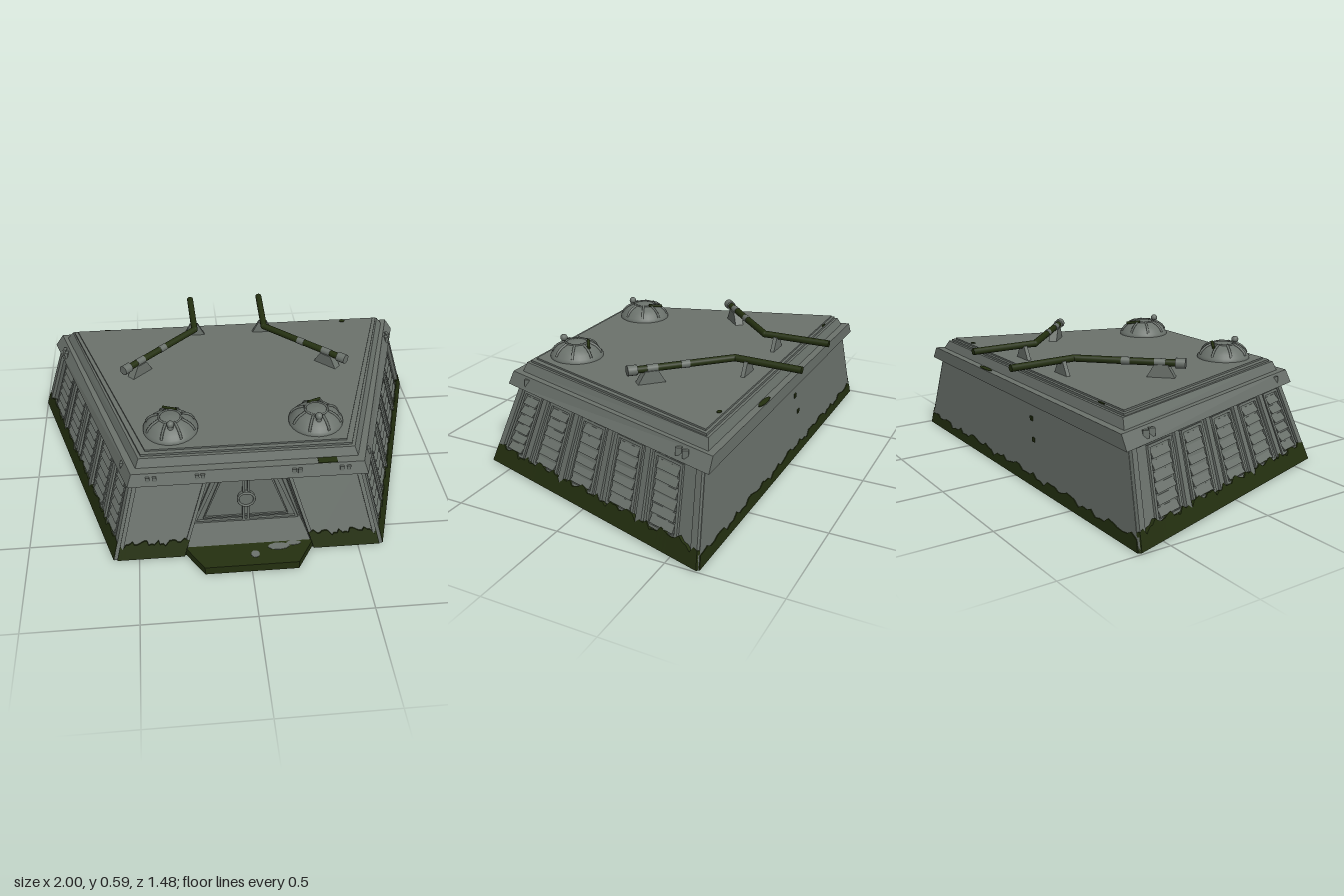
import * as THREE from 'three';

const stone = new THREE.MeshStandardMaterial({ color: 0x6b726c, side: THREE.DoubleSide });
stone.name = 'weatheredGrey';
const moss = new THREE.MeshStandardMaterial({ color: 0x243010, side: THREE.DoubleSide });
moss.name = 'darkMoss';

const V = (x, y, z) => new THREE.Vector3(x, y, z);

function add(parent, name, geo, mat, x = 0, y = 0, z = 0) {
  const m = new THREE.Mesh(geo, mat);
  m.name = name;
  m.position.set(x, y, z);
  parent.add(m);
  return m;
}

// Flat-faced geometry from a list of quads (corner arrays, counter-clockwise)
function quads(list) {
  const pos = [];
  for (const [a, b, c, d] of list) for (const p of [a, b, c, a, c, d]) pos.push(p.x, p.y, p.z);
  const g = new THREE.BufferGeometry();
  g.setAttribute('position', new THREE.Float32BufferAttribute(pos, 3));
  g.computeVertexNormals();
  return g;
}

// Six faces joining two four-cornered rings, b lying outward of a
const hexa = (a, b) => [[...a].reverse(), b, ...a.map((p, i) => [p, a[(i + 1) % 4], b[(i + 1) % 4], b[i]])];

// Horizontal trapezoid: half width and z at the front, then at the back
const ring = (y, fx, fz, bx, bz) => [V(-fx, y, fz), V(fx, y, fz), V(bx, y, bz), V(-bx, y, bz)];

// Sloping wall addressed by s (along), t (up) and d (outward)
function wall(bl, br, tr, tl) {
  const n = br.clone().sub(bl).cross(tl.clone().sub(bl)).normalize();
  const at = (s, t, d) => bl.clone().lerp(br, s).lerp(tl.clone().lerp(tr, s), t).addScaledVector(n, d);
  // plate with separate thickness along its lower and upper edges
  const plate = (s0, s1, t0, t1, d0, d1 = d0) => hexa(
    [at(s0, t0, -0.002), at(s1, t0, -0.002), at(s1, t1, -0.002), at(s0, t1, -0.002)],
    [at(s0, t0, d0), at(s1, t0, d0), at(s1, t1, d1), at(s0, t1, d1)]);
  const face = [at(0, 0, 0), at(1, 0, 0), at(1, 1, 0), at(0, 1, 0)];
  // ragged band of growth along the foot
  const band = (n, h, amp, d) => {
    const top = i => h + amp * (0.5 * Math.sin(i * 1.3) + 0.35 * Math.sin(i * 2.9 + 1) + 0.3 * Math.sin(i * 0.47));
    const out = [];
    for (let i = 0; i < n; i++) {
      const a = i / n, b = (i + 1) / n, ta = top(i), tb = top(i + 1);
      out.push([at(a, 0, d), at(b, 0, d), at(b, tb, d), at(a, ta, d)]);
      out.push([at(a, ta, d), at(b, tb, d), at(b, tb, 0), at(a, ta, 0)]);
    }
    out.push([at(0, 0, 0), at(0, 0, d), at(0, top(0), d), at(0, top(0), 0)]);
    out.push([at(1, 0, d), at(1, 0, 0), at(1, top(n), 0), at(1, top(n), d)]);
    return out;
  };
  return { plate, face, band };
}

function rod(parent, name, a, b, r, mat) {
  const m = add(parent, name, new THREE.CylinderGeometry(r, r, a.distanceTo(b), 14), mat);
  m.position.copy(a).lerp(b, 0.5);
  m.quaternion.setFromUnitVectors(V(0, 1, 0), b.clone().sub(a).normalize());
  return m;
}

// Upright trapezoid outline, optionally hollowed into a frame
function trapezoid(w0, w1, y0, y1, depth, rim = 0) {
  const pts = (k) => [[-w0 + k, y0 + k], [w0 - k, y0 + k], [w1 - k, y1 - k], [-w1 + k, y1 - k]].map(p => new THREE.Vector2(...p));
  const s = new THREE.Shape(pts(0));
  if (rim) s.holes.push(new THREE.Path(pts(rim)));
  return new THREE.ExtrudeGeometry(s, { depth, bevelEnabled: false });
}

// One half of the bunker, on +x
function createHalf() {
  const g = new THREE.Group();
  const side = wall(V(0.6, 0, 0.615), V(0.985, 0, -0.64), V(0.865, 0.38, -0.605), V(0.5, 0.38, 0.5));
  add(g, 'sideWall', quads([side.face]), stone);

  // pillars and louvred panels
  const pillars = [0.012, 0.17, 0.36, 0.55, 0.745, 0.985];
  add(g, 'sidePillars', quads(pillars.flatMap(s => side.plate(s - 0.013, s + 0.013, 0, 1, 0.016))), stone);
  add(g, 'sideRails', quads([...side.plate(0, 1, 0.955, 1, 0.012), ...side.plate(0, 1, 0, 0.15, 0.012)]), stone);
  const frames = [], slats = [];
  for (const [a, b] of [[0.035, 0.145], [0.2, 0.33], [0.39, 0.52], [0.585, 0.715], [0.775, 0.91]]) {
    frames.push(...side.plate(a, a + 0.012, 0.18, 0.94, 0.012), ...side.plate(b - 0.012, b, 0.18, 0.94, 0.012),
      ...side.plate(a, b, 0.91, 0.94, 0.012), ...side.plate(a, b, 0.18, 0.21, 0.012));
    for (let i = 0; i < 6; i++) {
      const t = 0.225 + i * 0.114;
      slats.push(...side.plate(a + 0.017, b - 0.017, t, t + 0.09, 0.016, 0.003));
    }
  }
  add(g, 'panelFrames', quads(frames), stone);
  add(g, 'louvres', quads(slats), stone);
  add(g, 'sideMoss', quads(side.band(64, 0.2, 0.055, 0.018)), moss);

  // front wall beside the entrance
  const front = wall(V(0.295, 0, 0.615), V(0.6, 0, 0.615), V(0.5, 0.38, 0.5), V(0.17, 0.38, 0.5));
  add(g, 'frontWall', quads([front.face]), stone);
  add(g, 'frontTrim', quads([...front.plate(0, 0.05, 0, 1, 0.008), ...front.plate(0.94, 1, 0, 1, 0.008)]), stone);
  add(g, 'frontMoss', quads(front.band(24, 0.19, 0.05, 0.01)), moss);

  // entrance jamb
  add(g, 'entranceJamb', quads([[V(0.295, 0, 0.615), V(0.17, 0.38, 0.5), V(0.15, 0.38, 0.43), V(0.265, 0, 0.43)]]), stone);

  // small vents on the roof edge
  for (const x of [0.41, 0.44, 0.2, 0.225])
    add(g, 'edgeVent', new THREE.BoxGeometry(0.018, 0.022, 0.012), stone, x, 0.412, 0.553);
  for (const z of [0.44, -0.48, -0.515]) {
    const v = add(g, 'sideVent', new THREE.BoxGeometry(0.016, 0.034, 0.026), stone, 0.532 + (0.55 - z) * 0.32 - 0.02, 0.41, z);
    v.rotation.y = 0.31;
  }

  // hatch dome with ribs, rim knobs and a lookout stub
  const dome = new THREE.Group();
  dome.name = 'hatchDome';
  dome.position.set(0.328, 0.494, 0.31);
  g.add(dome);
  const profile = [[0.123, 0], [0.123, 0.012], [0.115, 0.018], [0.106, 0.034], [0.086, 0.052], [0.056, 0.066], [0.025, 0.073], [0, 0.075]];
  add(dome, 'domeShell', new THREE.LatheGeometry(profile.map(p => new THREE.Vector2(...p)), 28), stone);
  const hoop = add(dome, 'domeHoop', new THREE.TorusGeometry(0.05, 0.005, 6, 24), stone, 0, 0.068, 0);
  hoop.rotation.x = Math.PI / 2;
  for (let i = 0; i < 8; i++) {
    const c = Math.cos(i * Math.PI / 4 + 0.4), s = Math.sin(i * Math.PI / 4 + 0.4);
    const path = new THREE.CatmullRomCurve3(profile.slice(2, 6).map(([r, y]) => V(r * c, y + 0.002, r * s)));
    add(dome, 'domeRib', new THREE.TubeGeometry(path, 6, 0.006, 6), stone);
  }
  add(dome, 'lookoutStub', new THREE.CylinderGeometry(0.012, 0.014, 0.045, 12), stone, 0, 0.06, 0.07);
  add(dome, 'lookoutCap', new THREE.SphereGeometry(0.017, 12, 8), stone, 0, 0.077, 0.07);
  rod(dome, 'domeHandle', V(-0.03, 0.073, -0.045), V(0.03, 0.06, -0.085), 0.007, moss);

  // bent roof pipe
  const pipe = new THREE.Group();
  pipe.name = 'roofPipe';
  g.add(pipe);
  const a = V(0.53, 0.56, -0.085), b = V(0.178, 0.56, -0.425), c = V(0.185, 0.56, -0.74);
  const on = k => a.clone().lerp(b, k);
  rod(pipe, 'slantedPipe', a, b, 0.016, moss);
  rod(pipe, 'straightPipe', b, c, 0.016, moss);
  add(pipe, 'pipeElbow', new THREE.SphereGeometry(0.0165, 14, 10), moss).position.copy(b);
  rod(pipe, 'pipeEndCollar', on(-0.02), on(0.07), 0.023, stone);
  rod(pipe, 'barePatch', on(0.16), on(0.26), 0.0175, stone);
  rod(pipe, 'barePatch', on(0.48), on(0.56), 0.0172, stone);
  const saddle = add(pipe, 'pipeSaddle', trapezoid(0.065, 0.03, 0, 0.06, 0.04).translate(0, 0, -0.02), stone, 0.46, 0.492, -0.152);
  saddle.rotation.y = -Math.atan2(0.34, 0.352);
  add(pipe, 'pipeStand', trapezoid(0.055, 0.02, 0, 0.065, 0.018), stone, 0.178, 0.492, -0.494);
  return g;
}

export function createModel() {
  const model = new THREE.Group();
  model.name = 'bunker';

  // mirrored halves
  const left = createHalf(), right = createHalf();
  left.name = 'leftHalf';
  right.name = 'rightHalf';
  right.scale.x = -1;
  model.add(left, right);

  // back wall and underside
  const back = wall(V(0.985, 0, -0.64), V(-0.985, 0, -0.64), V(-0.865, 0.38, -0.605), V(0.865, 0.38, -0.605));
  add(model, 'backWall', quads([back.face]), stone);
  add(model, 'backMoss', quads(back.band(60, 0.13, 0.05, 0.004)), moss);
  add(model, 'underside', quads([ring(0.001, 0.6, 0.615, 0.985, -0.64).reverse()]), moss);

  // stepped roof
  const tiers = [
    ['roofEave', ring(0.378, 0.53, 0.562, 0.91, -0.64), ring(0.437, 0.51, 0.545, 0.87, -0.638)],
    ['roofBevel', ring(0.437, 0.49, 0.505, 0.84, -0.605), ring(0.478, 0.475, 0.49, 0.81, -0.59)],
    ['roofLedge', ring(0.478, 0.465, 0.475, 0.8, -0.578), ring(0.488, 0.465, 0.475, 0.8, -0.578)],
    ['roofDeck', ring(0.488, 0.445, 0.455, 0.78, -0.565), ring(0.496, 0.445, 0.455, 0.78, -0.565)]];
  for (const [name, lo, hi] of tiers) add(model, name, quads(hexa(lo, hi)), stone);

  // recessed double door
  add(model, 'doorPanel', trapezoid(0.267, 0.15, 0, 0.378, 0.008), stone, 0, 0, 0.43);
  add(model, 'doorFrame', trapezoid(0.25, 0.135, 0.03, 0.36, 0.012, 0.018), stone, 0, 0, 0.438);
  add(model, 'doorInnerFrame', trapezoid(0.2, 0.105, 0.06, 0.335, 0.008, 0.008), stone, 0, 0, 0.438);
  for (const x of [-0.011, 0.011])
    add(model, 'doorSeamStrip', new THREE.BoxGeometry(0.012, 0.32, 0.016), stone, x, 0.19, 0.444);
  const lock = add(model, 'doorLock', new THREE.CylinderGeometry(0.04, 0.04, 0.02, 24), stone, 0, 0.178, 0.45);
  lock.rotation.x = Math.PI / 2;
  add(model, 'doorLockRing', new THREE.TorusGeometry(0.038, 0.006, 6, 24), stone, 0, 0.178, 0.46);

  // entrance step with bare spots
  const step = (y) => [V(-0.21, y, 0.74), V(0.21, y, 0.74), V(0.292, y, 0.605), V(-0.292, y, 0.605)];
  add(model, 'entranceStep', quads(hexa(step(0), step(0.04))), moss);
  add(model, 'entranceFloor', quads(hexa(ring(0, 0.285, 0.606, 0.265, 0.43), ring(0.039, 0.28, 0.606, 0.255, 0.43))), stone);
  const spot = (name, mat, x, y, z, rx, rz) => {
    const m = add(model, name, new THREE.CylinderGeometry(1, 1, 0.004, 9), mat, x, y, z);
    m.scale.set(rx, 1, rz);
  };
  spot('bareSpot', stone, 0.13, 0.04, 0.635, 0.05, 0.022);
  spot('bareSpot', stone, 0.02, 0.04, 0.675, 0.02, 0.022);
  spot('bareSpot', stone, 0.2, 0.04, 0.62, 0.035, 0.014);

  // patches of growth on the roof edges
  spot('mossPatch', moss, 0.31, 0.438, -0.622, 0.06, 0.014);
  spot('mossPatch', moss, 0.61, 0.497, -0.545, 0.014, 0.01);
  spot('mossPatch', moss, -0.63, 0.489, -0.572, 0.025, 0.005);
  add(model, 'mossPatch', new THREE.BoxGeometry(0.085, 0.006, 0.036), moss, 0.35, 0.437, 0.526);
  for (const [x, y] of [[-0.12, 0.3], [-0.15, 0.21]])
    add(model, 'mossPatch', new THREE.BoxGeometry(0.022, 0.02, 0.008), moss, x, y, -0.64 + y * 0.092);
  return model;
}
